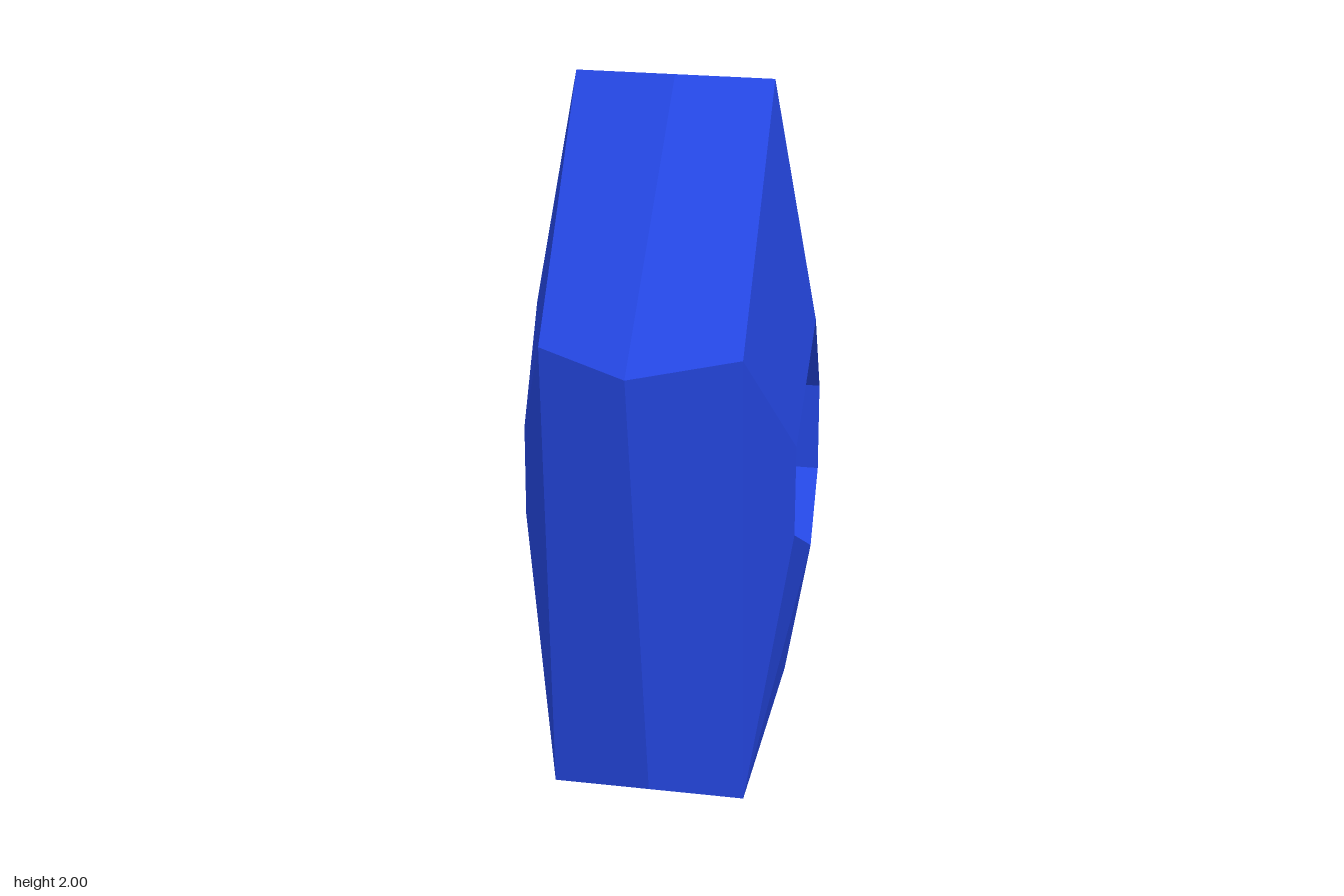
import * as THREE from 'three';

// Closed skin built from flat polygons, each a fan around its centre with one normal
function buildSkin(polygons) {
  const positions = [], normals = [];
  for (const poly of polygons) {
    const n = new THREE.Vector3(), c = new THREE.Vector3();
    poly.forEach((p, i) => {
      n.add(p.clone().cross(poly[(i + 1) % poly.length]));
      c.addScaledVector(p, 1 / poly.length);
    });
    n.normalize();
    poly.forEach((p, i) => {
      for (const v of [c, p, poly[(i + 1) % poly.length]]) {
        positions.push(v.x, v.y, v.z);
        normals.push(n.x, n.y, n.z);
      }
    });
  }
  const g = new THREE.BufferGeometry();
  g.setAttribute('position', new THREE.Float32BufferAttribute(positions, 3));
  g.setAttribute('normal', new THREE.Float32BufferAttribute(normals, 3));
  return g;
}

export function createModel() {
  const crystalBlue = new THREE.MeshStandardMaterial({ color: 0x2446e0 });
  const outer = [], tunnel = [];

  // One quarter of the body, mirrored across x and z
  for (const sx of [1, -1]) for (const sz of [1, -1]) {
    const v = (x, y, z) => new THREE.Vector3(x * sx, y, z * sz);
    const add = (list, ...pts) => list.push(sx * sz < 0 ? pts.reverse() : pts);

    // Ridge line in the middle and the edges beside it
    const topMid = v(0, 2, 0), top = v(0.275, 2, 0);
    const shoulderMid = v(0, 1.37, 0.685), shoulder = v(0.275, 1.37, 0.49);
    const footMid = v(0, 0, 0.4), foot = v(0.275, 0, 0.4);
    const baseMid = v(0, 0, 0), baseSide = v(0.275, 0, 0);

    // Rim of the hole and its narrower waist
    const rim = [v(0.4, 1.32, 0), v(0.385, 1.03, 0.235), v(0.385, 0.765, 0.24), v(0.4, 0.625, 0)];
    const waist = [v(0, 1.32, 0), v(0, 1.03, sz > 0 ? 0.235 : 0.213), v(0, 0.765, 0.24), v(0, 0.655, 0)];

    add(outer, shoulderMid, shoulder, top, topMid);
    add(outer, footMid, foot, shoulder, shoulderMid);
    add(outer, top, shoulder, rim[1], rim[0]);
    add(outer, shoulder, foot, rim[2], rim[1]);
    add(outer, foot, rim[3], rim[2]);
    add(outer, foot, baseSide, rim[3]);
    add(outer, footMid, baseMid, baseSide, foot);
    for (let i = 0; i < 3; i++) add(tunnel, rim[i], rim[i + 1], waist[i + 1], waist[i]);
  }

  const group = new THREE.Group();
  group.name = 'crystal';
  for (const [name, polygons] of [['facetedBody', outer], ['holeWalls', tunnel]]) {
    const mesh = new THREE.Mesh(buildSkin(polygons), crystalBlue);
    mesh.name = name;
    group.add(mesh);
  }
  crystalBlue.name = 'crystalBlue';
  return group;
}
